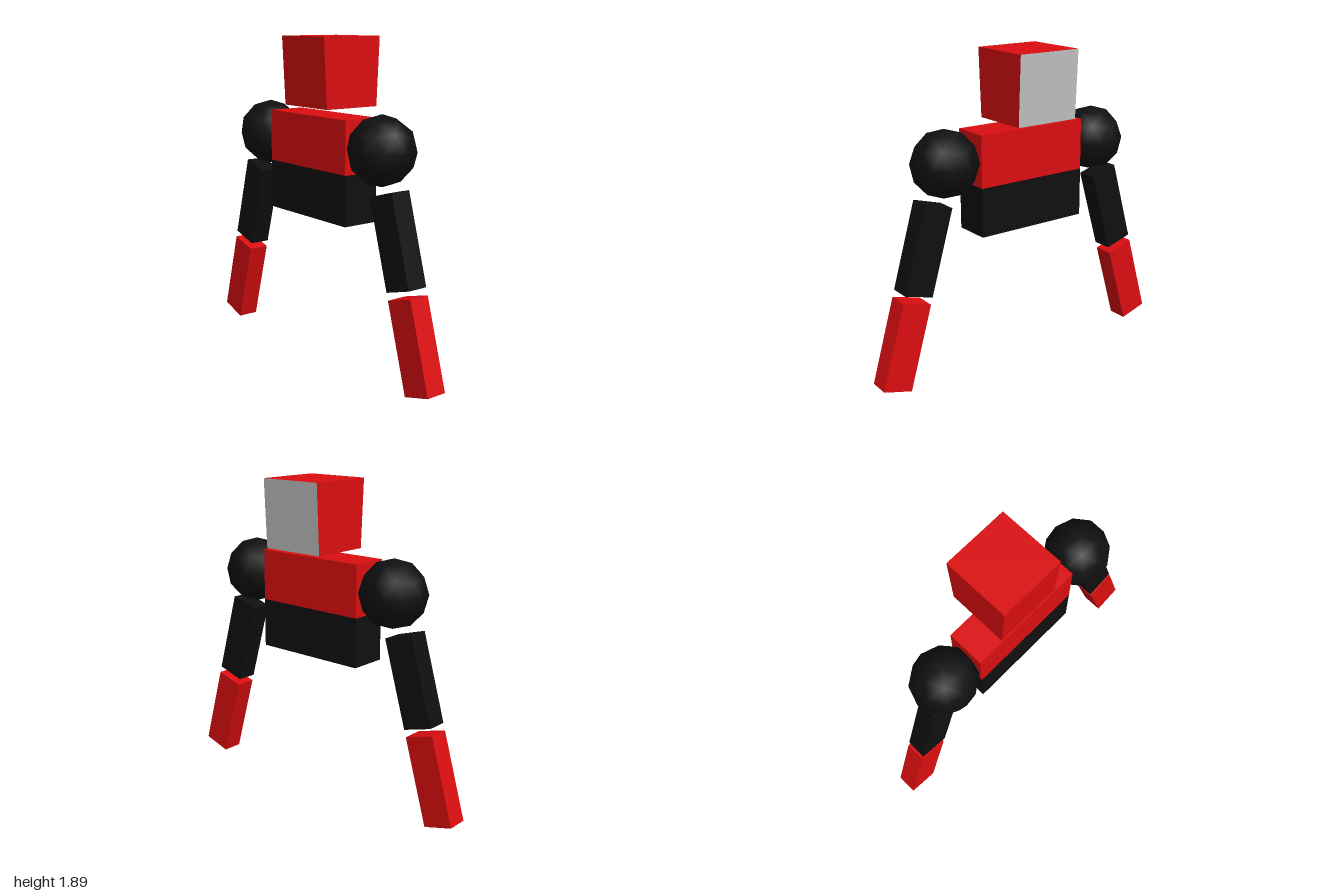
import * as THREE from 'three';

const paint = (name, color) => {
  const m = new THREE.MeshStandardMaterial({ color });
  m.name = name;
  return m;
};

export function createModel() {
  const red = paint('red', 0xdb0e10);
  const black = paint('black', 0x0f0f0f);
  const grey = paint('grey', 0xc0c0c0);
  const model = new THREE.Group();
  model.name = 'figure';

  const add = (name, geometry, material, x, y, z) => {
    const mesh = new THREE.Mesh(geometry, material);
    mesh.name = name;
    mesh.position.set(x, y, z);
    model.add(mesh);
    return mesh;
  };

  // Head: block narrowing in x towards the bottom, with a grey face plate side
  const headGeo = new THREE.BoxGeometry(0.4, 0.4, 0.4);
  const p = headGeo.attributes.position;
  for (let i = 0; i < p.count; i++) {
    if (p.getY(i) < 0) p.setX(i, p.getX(i) * 0.9);
  }
  headGeo.computeVertexNormals();
  add('head', headGeo, [grey, red, red, red, red, red], 0.02, 1.688, 0);

  // Torso: red chest over black waist with a red underside
  add('chest', new THREE.BoxGeometry(0.225, 0.305, 0.716), red, -0.043, 1.292, 0);
  add('waist', new THREE.BoxGeometry(0.225, 0.29, 0.716),
    [black, black, black, red, black, black], -0.043, 0.995, 0);

  // Faceted shoulder ball with one vertex straight up
  const ballGeo = new THREE.IcosahedronGeometry(0.198, 1);
  ballGeo.rotateZ(-Math.atan(2 / (1 + Math.sqrt(5))));
  ballGeo.scale(0.96, 1, 1);

  // Shoulders and splayed arms, mirrored front to back
  const armGeo = new THREE.BoxGeometry(0.125, 0.522, 0.182);
  for (const [end, s] of [['front', 1], ['back', -1]]) {
    add(end + 'Shoulder', ballGeo, black, -0.042, 1.288, s * 0.53);
    add(end + 'UpperArm', armGeo, black, -0.053, 0.818, s * 0.68).rotation.x = -s * 0.285;
    add(end + 'Forearm', armGeo, red, -0.053, 0.276, s * 0.839).rotation.x = -s * 0.285;
  }
  return model;
}
